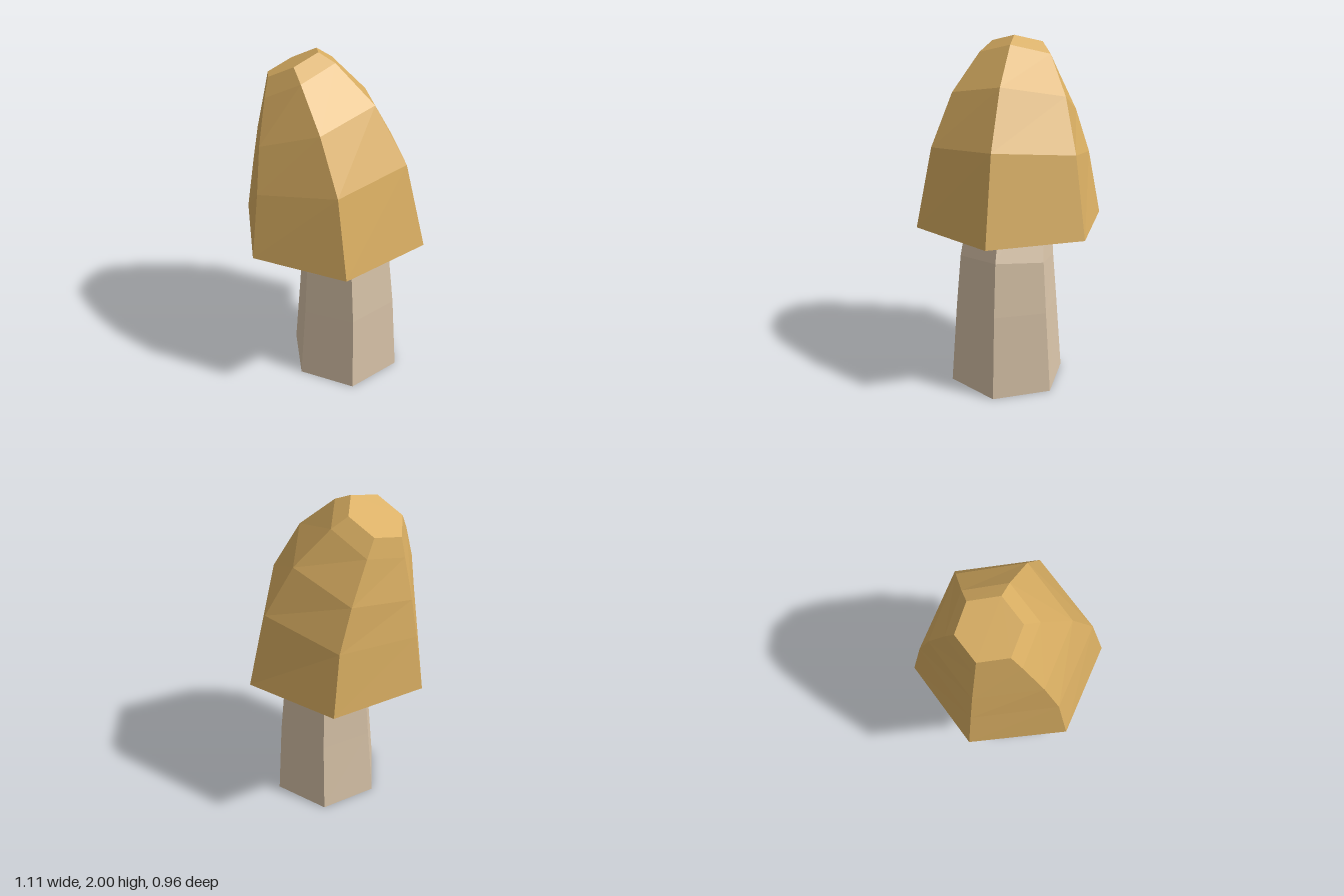
import * as THREE from 'three';

// One tilted regular hexagon, given by its two end corners in the x-y plane.
function hexRing([xl, yl, xr, yr]) {
  const ux = (xr - xl) / 2, uy = (yr - yl) / 2, r = Math.hypot(ux, uy);
  return Array.from({ length: 6 }, (_, k) => {
    const a = (k * Math.PI) / 3;
    return [xl + ux + ux * Math.cos(a), yl + uy + uy * Math.cos(a), -r * Math.sin(a)];
  });
}

// Joins the rings with faceted walls and closes both ends.
function loftMesh(name, sections, color) {
  const rings = sections.map(hexRing);
  const pos = [];
  const tri = (...corners) => corners.forEach((c) => pos.push(...c));
  for (let i = 0; i < rings.length - 1; i++) {
    for (let k = 0; k < 6; k++) {
      const n = (k + 1) % 6;
      const a = rings[i][k], b = rings[i][n], c = rings[i + 1][k], d = rings[i + 1][n];
      tri(a, b, d);
      tri(a, d, c);
    }
  }
  const first = rings[0], last = rings[rings.length - 1];
  for (let k = 1; k < 5; k++) {
    tri(first[0], first[k + 1], first[k]);
    tri(last[0], last[k], last[k + 1]);
  }
  const geometry = new THREE.BufferGeometry();
  geometry.setAttribute('position', new THREE.Float32BufferAttribute(pos, 3));
  geometry.computeVertexNormals();
  const mesh = new THREE.Mesh(geometry, new THREE.MeshStandardMaterial({ color, flatShading: true }));
  mesh.name = name;
  return mesh;
}

export function createModel() {
  const group = new THREE.Group();
  group.name = 'mushroom';

  // Stem: tapers upward, then bends toward -x into the cap
  group.add(loftMesh('stem', [
    [-0.26, 0, 0.425, 0],
    [-0.22, 0.46, 0.39, 0.49],
    [-0.2, 0.72, 0.355, 0.8],
    [-0.27, 1.16, 0.165, 1.28],
  ], 0xd9c4a9));

  // Cap: hollow ceiling, hole edge, flat rim, then the leaning dome
  group.add(loftMesh('cap', [
    [-0.34, 1.2, 0.26, 1.3],
    [-0.33, 0.95, 0.33, 0.95],
    [-0.555, 0.95, 0.555, 0.95],
    [-0.5, 1.28, 0.43, 1.44],
    [-0.46, 1.5, 0.24, 1.755],
    [-0.405, 1.735, 0.015, 1.955],
    [-0.38, 1.845, -0.08, 2],
  ], 0xd9ae62));

  return group;
}
